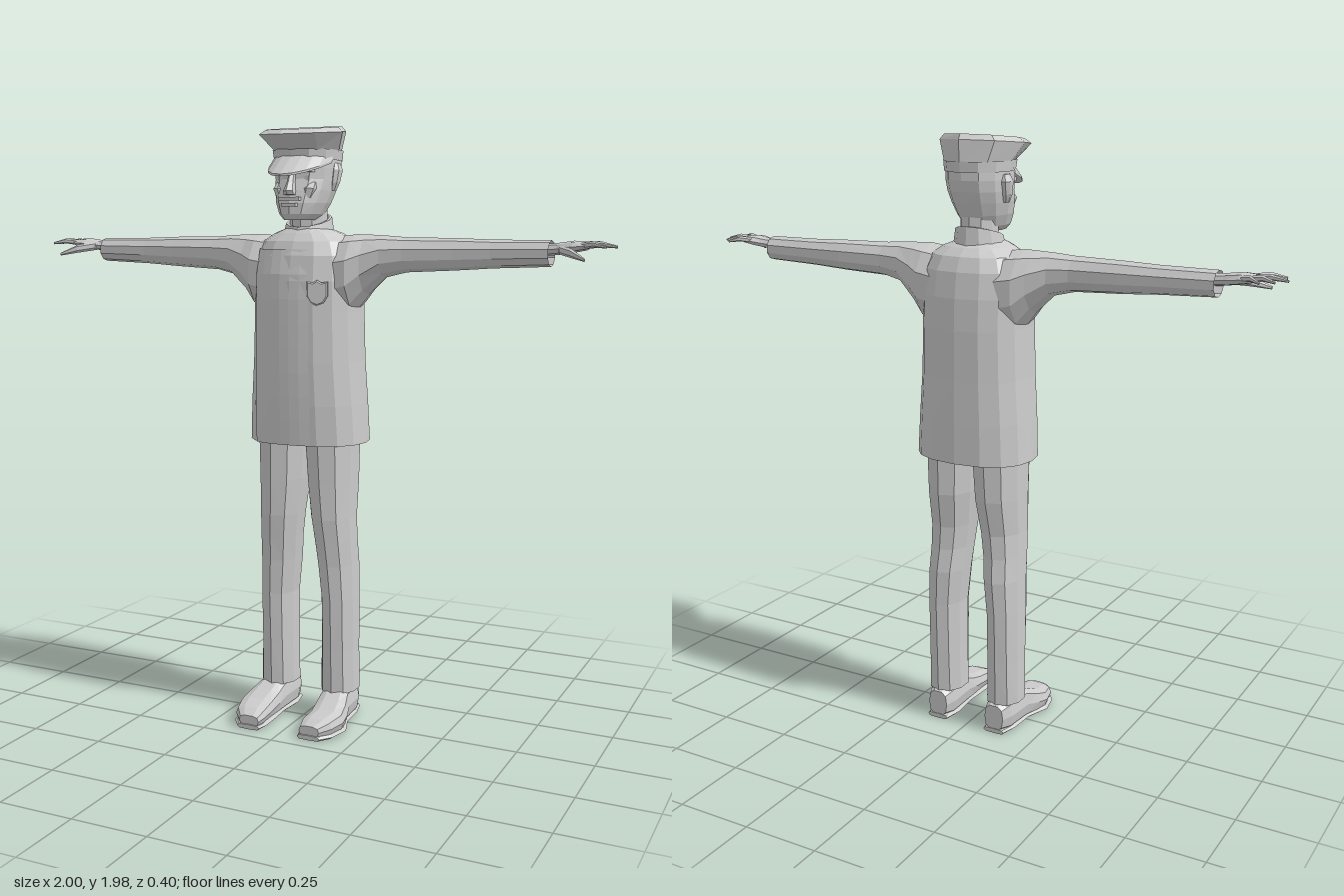
import * as THREE from 'three';

const mat = new THREE.MeshStandardMaterial({ color: 0xcccccc, flatShading: true, side: THREE.DoubleSide });

// Signed power: squares off an ellipse when e < 1
const sp = (v, e) => Math.sign(v) * Math.pow(Math.abs(v), e);

// Skin over ring loops of equal length, with optional fan caps
function skin(rings, cap0 = true, cap1 = true) {
  const n = rings[0].length, out = [];
  const tri = (...ps) => ps.forEach((p) => out.push(p.x, p.y, p.z));
  for (let i = 0; i < rings.length - 1; i++) {
    for (let j = 0; j < n; j++) {
      const k = (j + 1) % n, a = rings[i], b = rings[i + 1];
      tri(a[j], a[k], b[k]);
      tri(a[j], b[k], b[j]);
    }
  }
  const fan = (r, flip) => {
    const c = r.reduce((s, p) => s.add(p), new THREE.Vector3()).divideScalar(n);
    r.forEach((p, j) => (flip ? tri(c, r[(j + 1) % n], p) : tri(c, p, r[(j + 1) % n])));
  };
  if (cap0) fan(rings[0], true);
  if (cap1) fan(rings[rings.length - 1], false);
  const g = new THREE.BufferGeometry();
  g.setAttribute('position', new THREE.Float32BufferAttribute(out, 3));
  g.computeVertexNormals();
  return g;
}

// Loft along an axis; each ring is [t, centreU, centreV, radiusU, radiusV, tilt]
// (u, v) is (z, x) for axis y, (y, z) for axis x, (x, y) for axis z
function loft(axis, rows, n, e = 1, cap0 = true, cap1 = true) {
  return skin(rows.map(([t, cu, cv, ru, rv, tilt = 0]) =>
    Array.from({ length: n }, (_, j) => {
      const a = (j / n) * Math.PI * 2;
      const u = cu + ru * sp(Math.cos(a), e), v = cv + rv * sp(Math.sin(a), e);
      const w = t - tilt * Math.cos(a);
      if (axis === 'x') return new THREE.Vector3(w, u, v);
      return axis === 'y' ? new THREE.Vector3(v, w, u) : new THREE.Vector3(u, v, w);
    })), cap0, cap1);
}

// Mirrored copy with corner order reversed
function mirror(geo) {
  const g = geo.index ? geo.toNonIndexed() : geo.clone();
  g.scale(-1, 1, 1);
  const p = g.attributes.position;
  for (let i = 0; i < p.count; i += 3) {
    const b = new THREE.Vector3().fromBufferAttribute(p, i + 1);
    p.setXYZ(i + 1, p.getX(i + 2), p.getY(i + 2), p.getZ(i + 2));
    p.setXYZ(i + 2, b.x, b.y, b.z);
  }
  g.computeVertexNormals();
  return g;
}

// Jacket body rings: [y, zCentre, xCentre, zRadius, xRadius]
const TORSO = [
  [0.95, -0.052, 0, 0.152, 0.2], [1.08, -0.048, 0, 0.155, 0.193], [1.22, -0.045, 0, 0.156, 0.183],
  [1.38, -0.045, 0, 0.156, 0.178], [1.48, -0.043, 0, 0.153, 0.178], [1.56, -0.043, 0, 0.14, 0.172],
  [1.605, -0.043, 0, 0.12, 0.15], [1.63, -0.04, 0, 0.095, 0.11], [1.645, -0.035, 0, 0.075, 0.07],
];
const TORSO_E = 0.85;

// Depth of the jacket front at (x, y)
function frontZ(x, y) {
  let i = 0;
  while (i < TORSO.length - 2 && TORSO[i + 1][0] < y) i++;
  const a = TORSO[i], b = TORSO[i + 1], f = (y - a[0]) / (b[0] - a[0]);
  const [, cz, , rz, rx] = a.map((v, k) => v + (b[k] - v) * f);
  const s = Math.pow(Math.min(Math.abs(x) / rx, 1), 1 / TORSO_E);
  return cz + rz * Math.pow(1 - s * s, TORSO_E / 2);
}

export function createModel() {
  const model = new THREE.Group();
  model.name = 'uniformedMan';
  const add = (name, geo) => {
    const m = new THREE.Mesh(geo, mat);
    m.name = name;
    model.add(m);
    return m;
  };
  const pair = (name, geo) => {
    add(name + 'Left', geo);
    add(name + 'Right', mirror(geo));
  };
  const box = (w, h, d, x, y, z) => new THREE.BoxGeometry(w, h, d).translate(x, y, z);

  // Jacket, open at the hem
  add('jacket', loft('y', TORSO, 16, TORSO_E, false, true));

  // Overlapping front flap that follows the jacket
  const flap = new THREE.PlaneGeometry(0.2, 0.63, 6, 8).translate(-0.035, 1.265, 0);
  const fp = flap.attributes.position;
  for (let i = 0; i < fp.count; i++) {
    const x = fp.getX(i), y = fp.getY(i);
    fp.setZ(i, frontZ(x, y) - 0.002 + 0.009 * (0.065 - x) / 0.2);
  }
  add('jacketFlap', flap);

  // Chest badge: a plain shield
  const shield = new THREE.Shape([[-0.03, 0.03], [-0.012, 0.027], [0, 0.035], [0.012, 0.027], [0.03, 0.03],
    [0.03, -0.01], [0.018, -0.03], [0, -0.037], [-0.018, -0.03], [-0.03, -0.01]].map((p) => new THREE.Vector2(...p)));
  const badge = add('badge', new THREE.ExtrudeGeometry(shield,
    { depth: 0.008, bevelEnabled: true, bevelSize: 0.004, bevelThickness: 0.003, bevelSegments: 1 }));
  badge.position.set(0.09, 1.445, frontZ(0.09, 1.445) - 0.006);
  badge.rotation.y = 0.3;

  // Sleeves, widening into the armpits and open at the cuffs
  pair('sleeve', loft('x', [
    [0.06, 1.485, -0.05, 0.13, 0.12], [0.17, 1.505, -0.045, 0.122, 0.113], [0.21, 1.53, -0.047, 0.096, 0.092],
    [0.27, 1.557, -0.045, 0.066, 0.07], [0.34, 1.563, -0.046, 0.055, 0.058], [0.5, 1.566, -0.055, 0.05, 0.05],
    [0.62, 1.568, -0.058, 0.044, 0.045], [0.8, 1.571, -0.06, 0.04, 0.044],
  ], 10, 0.95, true, false));

  // Hands with spread fingers
  pair('palm', loft('x', [
    [0.76, 1.58, -0.06, 0.018, 0.022], [0.82, 1.585, -0.06, 0.018, 0.026],
    [0.87, 1.592, -0.056, 0.018, 0.044], [0.91, 1.594, -0.055, 0.012, 0.044],
  ], 8));
  const fingers = [
    ['littleFinger', 0.875, -0.085, 0.94, -0.13], ['ringFinger', 0.9, -0.075, 0.975, -0.098],
    ['middleFinger', 0.9, -0.053, 1.0, -0.052], ['indexFinger', 0.895, -0.03, 0.98, 0.004],
  ];
  for (const [name, x0, z0, x1, z1] of fingers) {
    pair(name, loft('x', [
      [x0, 1.594, z0, 0.01, 0.012], [(x0 + x1) / 2, 1.6, (z0 + z1) / 2, 0.009, 0.01], [x1, 1.592, z1, 0.004, 0.005],
    ], 6));
  }
  pair('thumb', loft('x', [
    [0.83, 1.583, -0.04, 0.014, 0.014], [0.875, 1.574, 0.005, 0.014, 0.014], [0.925, 1.555, 0.042, 0.005, 0.006],
  ], 6));

  // Trouser legs with a front crease
  pair('trouserLeg', loft('y', [
    [0.1, -0.055, 0.112, 0.078, 0.063], [0.25, -0.055, 0.112, 0.082, 0.06], [0.42, -0.054, 0.112, 0.088, 0.06],
    [0.54, -0.052, 0.105, 0.094, 0.065], [0.62, -0.042, 0.1, 0.094, 0.068], [0.7, -0.037, 0.094, 0.1, 0.072],
    [0.82, -0.045, 0.088, 0.115, 0.08], [0.95, -0.045, 0.085, 0.122, 0.085], [1.05, -0.045, 0.085, 0.12, 0.085],
  ], 10, 0.95));

  // Shoes with thin soles
  pair('shoe', loft('z', [
    [-0.14, 0.11, 0.055, 0.035, 0.045], [-0.1, 0.112, 0.058, 0.05, 0.056], [0, 0.117, 0.058, 0.053, 0.057],
    [0.05, 0.125, 0.047, 0.06, 0.044], [0.1, 0.13, 0.038, 0.062, 0.034], [0.16, 0.121, 0.034, 0.055, 0.028],
    [0.195, 0.11, 0.028, 0.036, 0.018],
  ], 10, 0.7));
  pair('sole', loft('z', [
    [-0.142, 0.11, 0.008, 0.038, 0.008], [-0.08, 0.112, 0.008, 0.052, 0.008], [0.01, 0.118, 0.008, 0.05, 0.008],
    [0.09, 0.13, 0.008, 0.067, 0.008], [0.16, 0.121, 0.008, 0.06, 0.008], [0.2, 0.11, 0.008, 0.04, 0.008],
  ], 8, 0.5));

  // Neck and stand-up collar, higher at the back
  add('neck', loft('y', [[1.6, -0.04, 0, 0.065, 0.06], [1.75, -0.04, 0, 0.065, 0.06]], 10));
  add('collar', loft('y', [
    [1.625, -0.038, 0, 0.088, 0.082, 0.01], [1.672, -0.04, 0, 0.083, 0.073, 0.022],
    [1.672, -0.04, 0, 0.072, 0.064, 0.022],
  ], 12, 1, false, false));

  // Head
  add('head', loft('y', [
    [1.672, 0.025, 0, 0.072, 0.045], [1.69, 0.013, 0, 0.094, 0.064], [1.725, 0, 0, 0.108, 0.08],
    [1.765, -0.016, 0, 0.113, 0.091], [1.8, -0.03, 0, 0.114, 0.097], [1.835, -0.034, 0, 0.119, 0.1],
    [1.88, -0.036, 0, 0.118, 0.1],
  ], 12, 0.9));
  add('nose', loft('y', [
    [1.75, 0.1, 0, 0.022, 0.02], [1.762, 0.104, 0, 0.026, 0.019], [1.79, 0.09, 0, 0.024, 0.012],
    [1.83, 0.078, 0, 0.016, 0.01],
  ], 6));
  add('upperLip', box(0.07, 0.011, 0.024, 0, 1.738, 0.1));
  add('lowerLip', box(0.05, 0.011, 0.024, 0, 1.719, 0.103));
  add('brow', box(0.13, 0.014, 0.03, 0, 1.828, 0.068));
  pair('eye', box(0.032, 0.014, 0.02, 0.036, 1.802, 0.064));
  pair('cheek', loft('y', [
    [1.74, 0.07, 0.045, 0.015, 0.015], [1.77, 0.065, 0.05, 0.024, 0.024], [1.79, 0.05, 0.055, 0.015, 0.015],
  ], 6));
  pair('ear', loft('y', [
    [1.765, -0.03, 0.09, 0.012, 0.01], [1.79, -0.034, 0.096, 0.022, 0.014],
    [1.83, -0.042, 0.1, 0.028, 0.016], [1.852, -0.042, 0.097, 0.018, 0.01],
  ], 7));

  // Peaked cap: band, flaring crown and flat top
  add('capBand', loft('y', [[1.86, -0.035, 0, 0.124, 0.105], [1.893, -0.033, 0, 0.13, 0.108]], 12, 0.95, false, false));
  add('capCrown', loft('y', [
    [1.89, -0.033, 0, 0.13, 0.108], [1.946, 0.004, 0, 0.17, 0.137, 0.013], [1.962, -0.004, 0, 0.152, 0.118, 0.014],
  ], 8, 1, false, true));

  // Visor sloping down from the band
  const visor = [];
  for (let i = 0; i <= 8; i++) {
    const a = (i / 8 - 0.5) * 2.7, s = Math.sin(a), c = Math.cos(a);
    const z = -0.035 + 0.12 * c;
    visor.push([
      [0.102 * s, 1.875, z], [0.102 * s, 1.865, z - 0.002],
      [0.104 * s, 1.861 - 0.056 * c, z + 0.085 * c], [0.104 * s, 1.868 - 0.056 * c, z + 0.085 * c],
    ].map((p) => new THREE.Vector3(...p)));
  }
  add('capVisor', skin(visor));

  return model;
}
